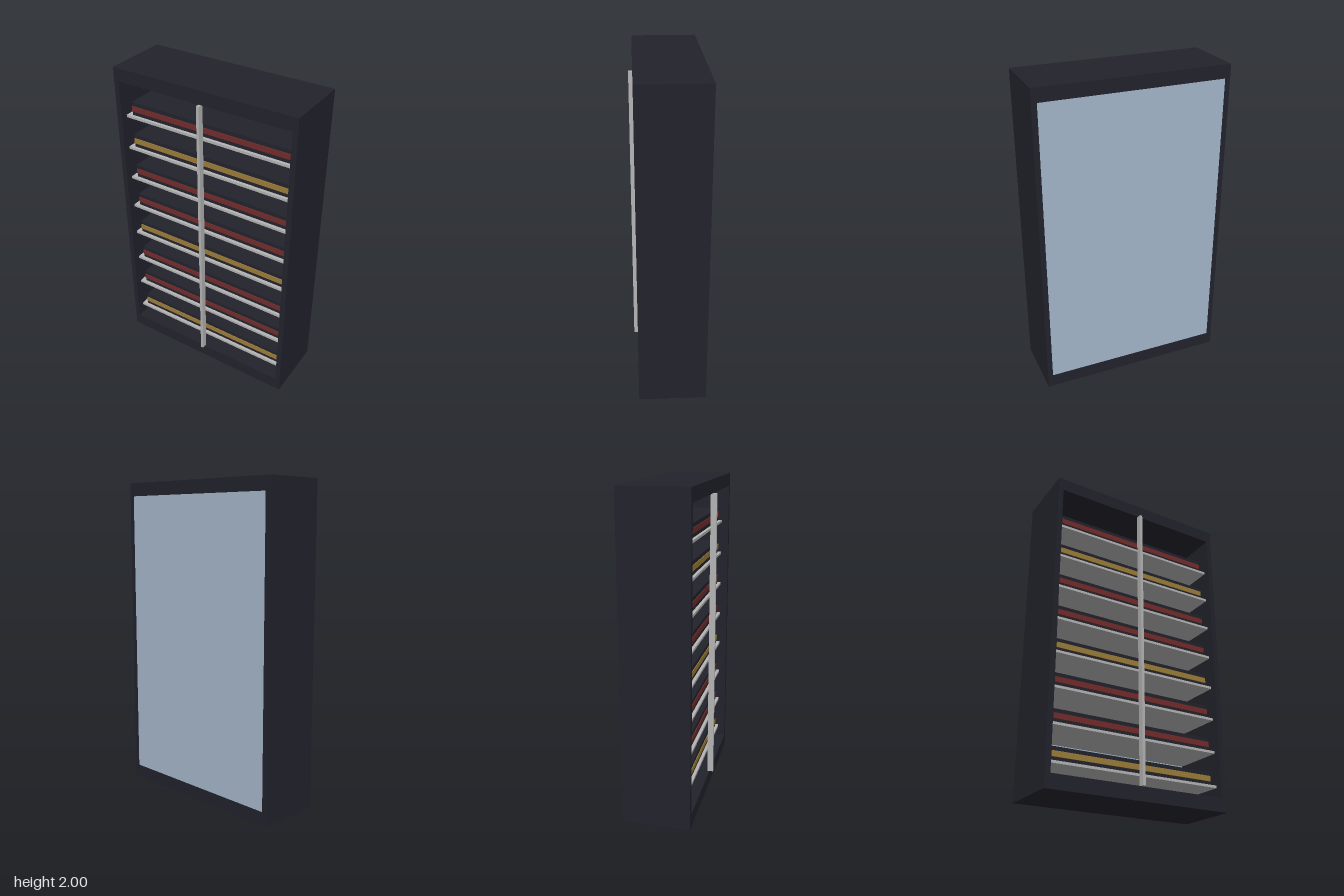
import * as THREE from 'three';

const mat = (name, color) => {
  const m = new THREE.MeshStandardMaterial({ color });
  m.name = name;
  return m;
};

export function createModel() {
  const group = new THREE.Group();
  const frameMat = mat('dark frame', 0x22222c);
  const panelMat = mat('pale blue panel', 0xa5b6ca);
  const metalMat = mat('grey metal', 0xb4b4b4);
  const redMat = mat('dull red', 0x732c2c);
  const goldMat = mat('dull gold', 0x9c7c38);

  // Box given by its lower and upper limits on each axis
  const box = (name, material, [x0, x1], [y0, y1], [z0, z1], parent = group) => {
    const mesh = new THREE.Mesh(new THREE.BoxGeometry(x1 - x0, y1 - y0, z1 - z0), material);
    mesh.position.set((x0 + x1) / 2, (y0 + y1) / 2, (z0 + z1) / 2);
    mesh.name = name;
    parent.add(mesh);
    return mesh;
  };

  const back = -0.22, front = 0.196;
  const inX = 0.567, inLow = 0.085, inHigh = 1.917;

  // Cabinet frame: a rectangle with a rectangular opening
  const outline = new THREE.Shape([
    new THREE.Vector2(-0.6, 0), new THREE.Vector2(0.6, 0),
    new THREE.Vector2(0.6, 2), new THREE.Vector2(-0.6, 2),
  ]);
  outline.holes.push(new THREE.Path([
    new THREE.Vector2(-inX, inLow), new THREE.Vector2(-inX, inHigh),
    new THREE.Vector2(inX, inHigh), new THREE.Vector2(inX, inLow),
  ]));
  const frame = new THREE.Mesh(
    new THREE.ExtrudeGeometry(outline, { depth: front - back, bevelEnabled: false }), frameMat);
  frame.position.z = back;
  frame.name = 'cabinetFrame';
  group.add(frame);

  // Back panel, flush with the rear of the frame
  box('backPanel', panelMat, [-inX, inX], [inLow, inHigh], [back, back + 0.02]);

  // Eight shelves, each with a long tray and a coloured front strip
  for (let i = 0; i < 8; i++) {
    const row = new THREE.Group();
    row.name = 'shelfRow' + (i + 1);
    row.position.y = 0.17 + i * 0.2167;
    box('shelf', metalMat, [-inX, inX], [-0.016, 0], [back + 0.02, 0.15], row);
    box('tray', frameMat, [-0.535, 0.535], [0, 0.084], [-0.17, 0.13], row);
    box('trayStrip', i % 3 === 0 ? goldMat : redMat,
      [-0.535, 0.535], [0.025, 0.059], [0.13, 0.135], row);
    group.add(row);
  }

  // Central upright bar at the front
  box('centreBar', metalMat, [-0.009, 0.009], [inLow, inHigh], [0.182, 0.22]);

  return group;
}
